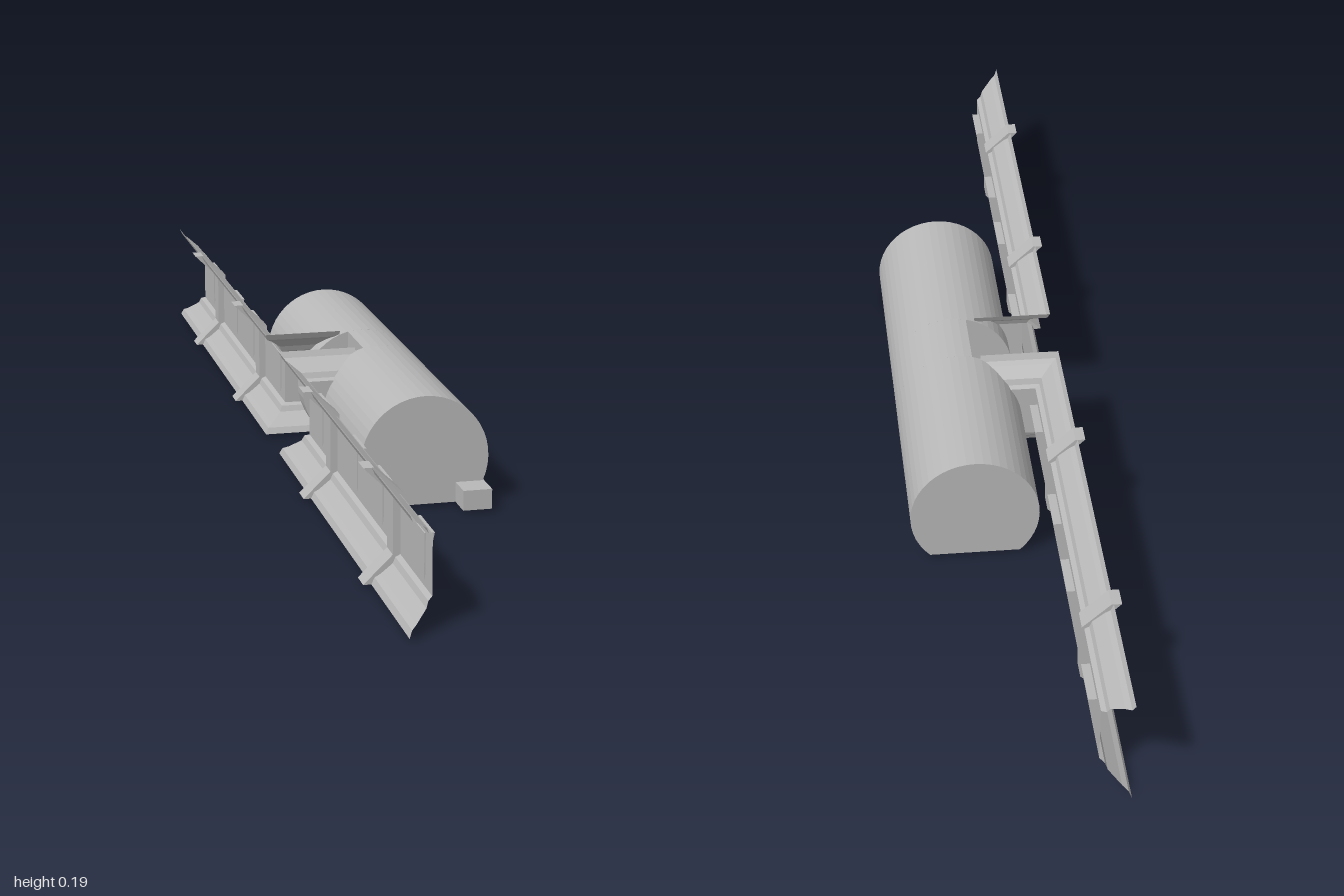
import * as THREE from 'three';

export function createModel() {
  const root = new THREE.Group();
  const grey = new THREE.MeshStandardMaterial({ color: 0xb8b8b8 });
  const greySheet = new THREE.MeshStandardMaterial({ color: 0xb8b8b8, side: THREE.DoubleSide });

  const add = (name, geometry, material = grey) => {
    const mesh = new THREE.Mesh(geometry, material);
    mesh.name = name;
    root.add(mesh);
    return mesh;
  };
  const box = (name, x0, x1, y0, y1, z0, z1) =>
    add(name, new THREE.BoxGeometry(x1 - x0, y1 - y0, z1 - z0))
      .position.set((x0 + x1) / 2, (y0 + y1) / 2, (z0 + z1) / 2);
  // Section in x and y, pushed along z
  const extrude = (name, points, z0, z1) => {
    const shape = new THREE.Shape(points.map(([x, y]) => new THREE.Vector2(x, y)));
    const geometry = new THREE.ExtrudeGeometry(shape, { depth: z1 - z0, bevelEnabled: false });
    geometry.translate(0, 0, z0);
    add(name, geometry);
  };

  // Barrel hall with a flat underside and a recess at its entrance
  const cx = 0.041, cy = 0.084, r = 0.111, flat = 0.792;
  const arc = (a, b, n) => Array.from({ length: n + 1 }, (_, i) => {
    const t = a + (b - a) * i / n;
    return [cx + r * Math.cos(t), cy + r * Math.sin(t)];
  });
  const full = arc(-flat, Math.PI + flat, 36);
  extrude('hallFront', full, 0.06, 0.4);
  extrude('hallBack', full, -0.38, -0.06);
  extrude('hallMiddle', [...arc(-flat, 1.807, 20), [0.015, 0.005]], -0.06, 0.06);
  box('entranceStep', -0.045, 0.015, 0, 0.04, -0.06, 0.06);
  box('endPorch', 0.095, 0.145, 0.005, 0.04, 0.39, 0.45);

  // Wall section: height and outward flare, the lower half mirrored
  const upper = [[0.194, 0.046], [0.183, 0.041], [0.178, 0.032], [0.162, 0.012], [0.152, 0.008], [0.148, 0]];
  const section = [...upper, ...upper.slice().reverse().map(([y, d]) => [0.199 - y, d])];
  const wallX = -0.094;
  const wall = (s) => {
    const rows = section.map(([y, d]) => [
      [wallX - d, y, s * (0.954 + d)],
      [wallX - d, y, s * (0.106 - d)],
      [0.0, y, s * (0.106 - d)],
    ]);
    const pos = [];
    for (let i = 0; i < rows.length - 1; i++) {
      for (let j = 0; j < 2; j++) {
        const a = rows[i][j], b = rows[i][j + 1], c = rows[i + 1][j + 1], e = rows[i + 1][j];
        const quad = s > 0 ? [a, b, c, a, c, e] : [a, c, b, a, e, c];
        quad.forEach((p) => pos.push(...p));
      }
    }
    const geometry = new THREE.BufferGeometry();
    geometry.setAttribute('position', new THREE.Float32BufferAttribute(pos, 3));
    geometry.computeVertexNormals();
    return geometry;
  };

  const rib = [
    [-0.153, 0.005], [-0.136, 0.005], [-0.09, 0.048], [-0.09, 0.151],
    [-0.136, 0.194], [-0.153, 0.194], [-0.106, 0.148], [-0.106, 0.051],
  ];
  const awning = [[-0.096, 0.062], [-0.08, 0.136], [-0.096, 0.136]];

  for (const s of [1, -1]) {
    add('flaredWall', wall(s), greySheet);
    // Ribs wrapped around the wall
    for (const z of [0.31, 0.745]) extrude('wallRib', rib, s * z - 0.018, s * z + 0.018);
    // Tilted window flaps
    for (const z of [0.18, 0.44, 0.615, 0.873]) extrude('windowFlap', awning, s * z - 0.041, s * z + 0.041);
  }
  return root;
}
